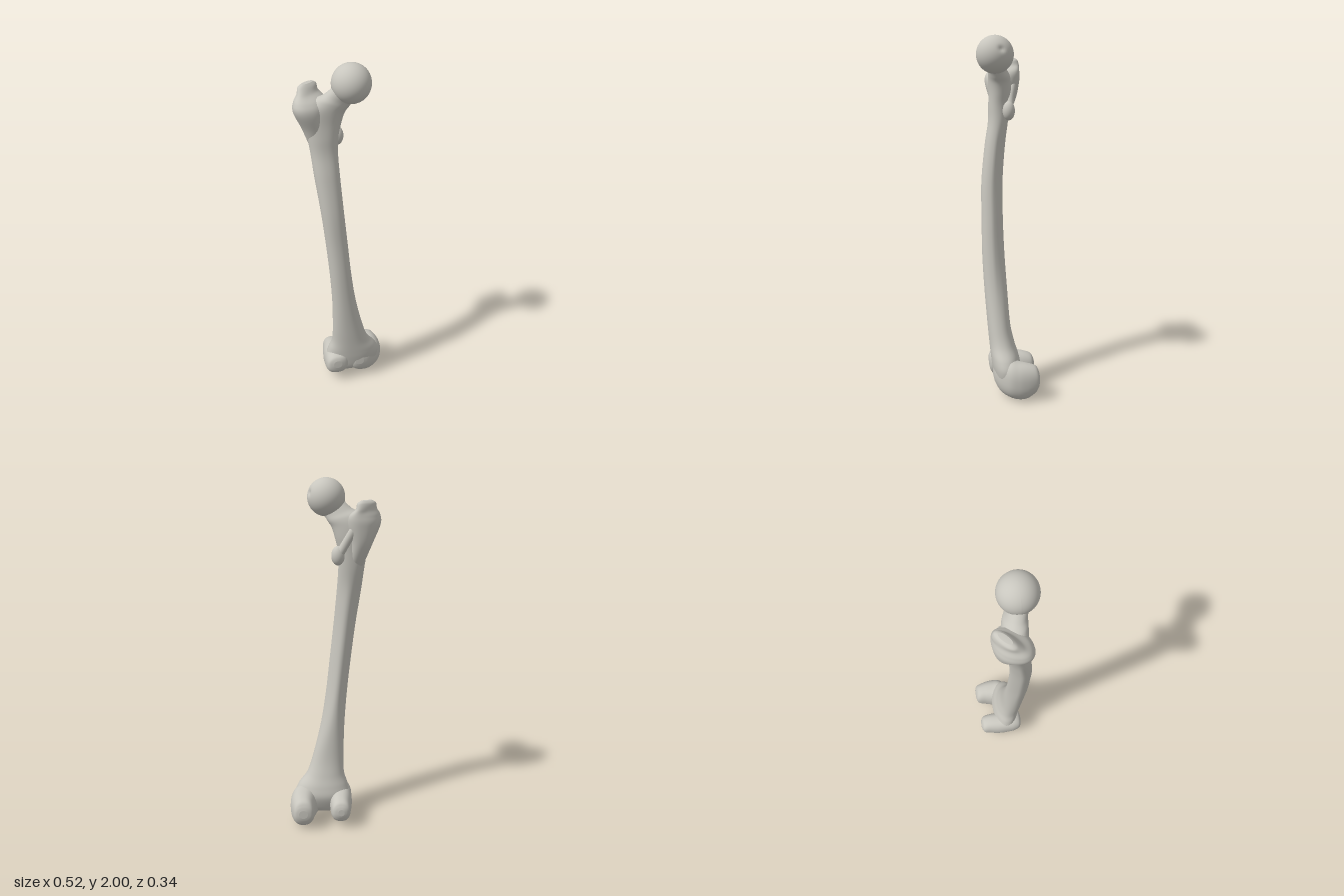
import * as THREE from 'three';

const bone = new THREE.MeshStandardMaterial({ color: 0xc8c6be });
bone.name = 'bone grey';

// Cubic interpolation between rows of numbers
function refine(rows, steps) {
  const out = [];
  const at = (i) => rows[Math.min(Math.max(i, 0), rows.length - 1)];
  for (let i = 0; i < rows.length - 1; i++) {
    const [a, b, c, d] = [at(i - 1), at(i), at(i + 1), at(i + 2)];
    for (let s = 0; s < steps; s++) {
      const t = s / steps;
      out.push(b.map((q, k) => {
        const cubic = 3 * (q - c[k]) + d[k] - a[k];
        const square = 2 * a[k] - 5 * q + 4 * c[k] - d[k];
        return q + 0.5 * t * (c[k] - a[k] + t * (square + t * cubic));
      }));
    }
  }
  out.push(at(rows.length - 1));
  return out;
}

// Closed loft; each section is centre, half axis U and half axis V (9 numbers).
// squareness 2 is an ellipse; taper narrows the -V side into a ridge.
function loft(sections, { squareness, taper = () => 0 }) {
  const steps = 8, sides = 48;
  const rows = refine(sections, steps);
  const shrink = (r) => r.map((q, k) => (k < 3 ? q : 0));
  rows.unshift(shrink(rows[0]));
  rows.push(shrink(rows[rows.length - 1]));
  const pos = [], index = [];
  const soft = (q) => Math.sign(q) * Math.pow(Math.abs(q), 2 / squareness);
  rows.forEach((r, i) => {
    for (let j = 0; j < sides; j++) {
      const angle = (j / sides) * Math.PI * 2;
      const v = soft(Math.sin(angle));
      const u = soft(Math.cos(angle)) * (1 - taper(r[1]) * Math.max(0, -v));
      for (let k = 0; k < 3; k++) pos.push(r[k] + r[3 + k] * u + r[6 + k] * v);
      if (i === rows.length - 1) continue;
      const a = i * sides + j, b = i * sides + (j + 1) % sides;
      index.push(a, a + sides, b, a + sides, b + sides, b);
    }
  });
  const geometry = new THREE.BufferGeometry();
  geometry.setAttribute('position', new THREE.Float32BufferAttribute(pos, 3));
  geometry.setIndex(index);
  geometry.computeVertexNormals();
  return geometry;
}

export function createModel() {
  const model = new THREE.Group();
  model.name = 'thighBone';
  const add = (name, geometry) => {
    const mesh = new THREE.Mesh(geometry, bone);
    mesh.name = name;
    model.add(mesh);
    return mesh;
  };

  // Shaft bending into the neck: outer x, y, inner x, y, front z, back z
  const shaft = [
    [-0.04, 0.055, 0.13, 0.055, 0.05, -0.03],
    [-0.09, 0.09, 0.2, 0.09, 0.075, -0.05],
    [-0.1, 0.16, 0.225, 0.16, 0.09, -0.07],
    [-0.088, 0.22, 0.205, 0.22, 0.098, -0.06],
    [-0.068, 0.29, 0.152, 0.29, 0.105, -0.038],
    [-0.066, 0.4, 0.114, 0.4, 0.115, -0.015],
    [-0.072, 0.6, 0.066, 0.6, 0.13, 0],
    [-0.087, 0.8, 0.035, 0.8, 0.14, 0.013],
    [-0.108, 1, 0.013, 1, 0.141, 0.02],
    [-0.132, 1.2, -0.008, 1.2, 0.14, 0.02],
    [-0.16, 1.4, -0.025, 1.4, 0.12, 0.005],
    [-0.175, 1.53, -0.032, 1.53, 0.1, -0.012],
    [-0.188, 1.62, -0.028, 1.62, 0.097, -0.022],
    [-0.2, 1.7, -0.012, 1.69, 0.095, -0.03],
    [-0.195, 1.775, 0.005, 1.745, 0.098, -0.028],
    [-0.15, 1.82, 0.025, 1.775, 0.1, -0.018],
    [-0.1, 1.845, 0.04, 1.8, 0.103, 0],
    [-0.048, 1.895, 0.06, 1.83, 0.12, 0.02],
  ].map(([lx, ly, mx, my, f, b]) => [
    (lx + mx) / 2, (ly + my) / 2, (f + b) / 2,
    (mx - lx) / 2, (my - ly) / 2, 0,
    0, 0, (f - b) / 2,
  ]);
  // The back of the shaft narrows into a long ridge
  const ridge = (y) => 0.4 * THREE.MathUtils.smoothstep(y, 0.4, 0.8)
    * (1 - THREE.MathUtils.smoothstep(y, 1.35, 1.6));
  add('shaftAndNeck', loft(shaft, { squareness: 2.15, taper: ridge }));

  // Ball head with a small pit on the inner side
  const headGeometry = new THREE.SphereGeometry(0.101, 64, 48);
  const pit = new THREE.Vector3(0.9, 0.25, -0.3).normalize();
  const p = new THREE.Vector3();
  const points = headGeometry.attributes.position;
  for (let i = 0; i < points.count; i++) {
    p.fromBufferAttribute(points, i);
    const offset = p.angleTo(pit) / 0.16;
    p.multiplyScalar(1 - 0.1 * Math.exp(-offset * offset));
    points.setXYZ(i, p.x, p.y, p.z);
  }
  headGeometry.computeVertexNormals();
  add('head', headGeometry).position.set(0.032, 1.899, 0.067);

  // Greater trochanter: y, centre x, z, U x, z, V x, z
  const trochanter = [
    [1.54, -0.125, 0.025, 0.04, 0, 0, 0.03],
    [1.66, -0.152, 0.014, 0.06, 0, 0, 0.074],
    [1.76, -0.168, 0.016, 0.088, -0.01, -0.012, 0.095],
    [1.81, -0.17, 0.008, 0.083, -0.018, -0.016, 0.085],
    [1.845, -0.175, -0.01, 0.06, -0.04, 0, 0.052],
    [1.875, -0.175, -0.02, 0.05, -0.04, 0.012, 0.026],
    [1.889, -0.174, -0.021, 0.03, -0.026, 0.008, 0.012],
  ].map(([y, x, z, ux, uz, vx, vz]) => [x, y, z, ux, 0, uz, vx, 0, vz]);
  add('greaterTrochanter', loft(trochanter, { squareness: 2.2 }));

  // Lesser trochanter and the crest joining the two
  const knob = add('lesserTrochanter', new THREE.SphereGeometry(1, 32, 24));
  knob.position.set(-0.027, 1.6, -0.012);
  knob.scale.set(0.036, 0.052, 0.034);
  const crest = new THREE.CatmullRomCurve3([
    [-0.15, 1.82, -0.045], [-0.115, 1.75, -0.04], [-0.07, 1.67, -0.022], [-0.03, 1.6, -0.015],
  ].map((q) => new THREE.Vector3(...q)));
  add('crest', new THREE.TubeGeometry(crest, 32, 0.023, 16));

  // Knee condyles, front to back: z, x range, y range
  const condyle = (name, rows) => {
    const sections = rows.map(([z, x0, x1, y0, y1]) => [
      (x0 + x1) / 2, (y0 + y1) / 2, z, (x1 - x0) / 2, 0, 0, 0, (y1 - y0) / 2, 0,
    ]);
    add(name, loft(sections, { squareness: 2.35 }));
  };
  condyle('innerCondyle', [
    [0.087, 0.07, 0.12, 0.11, 0.16],
    [0.075, 0.045, 0.16, 0.07, 0.185],
    [0.045, 0.05, 0.205, 0.03, 0.21],
    [0, 0.07, 0.245, 0.01, 0.225],
    [-0.05, 0.095, 0.255, 0, 0.215],
    [-0.1, 0.11, 0.25, 0.006, 0.205],
    [-0.145, 0.118, 0.237, 0.035, 0.19],
    [-0.163, 0.13, 0.225, 0.065, 0.165],
    [-0.17, 0.155, 0.205, 0.09, 0.14],
  ]);
  condyle('outerCondyle', [
    [0.104, -0.07, -0.02, 0.12, 0.17],
    [0.092, -0.1, 0.015, 0.08, 0.195],
    [0.06, -0.112, 0.025, 0.048, 0.21],
    [0.02, -0.114, 0.025, 0.032, 0.21],
    [-0.04, -0.112, 0.02, 0.024, 0.2],
    [-0.1, -0.102, 0.018, 0.028, 0.19],
    [-0.14, -0.095, 0.01, 0.05, 0.175],
    [-0.155, -0.08, -0.003, 0.075, 0.155],
    [-0.162, -0.06, -0.025, 0.095, 0.135],
  ]);
  return model;
}
